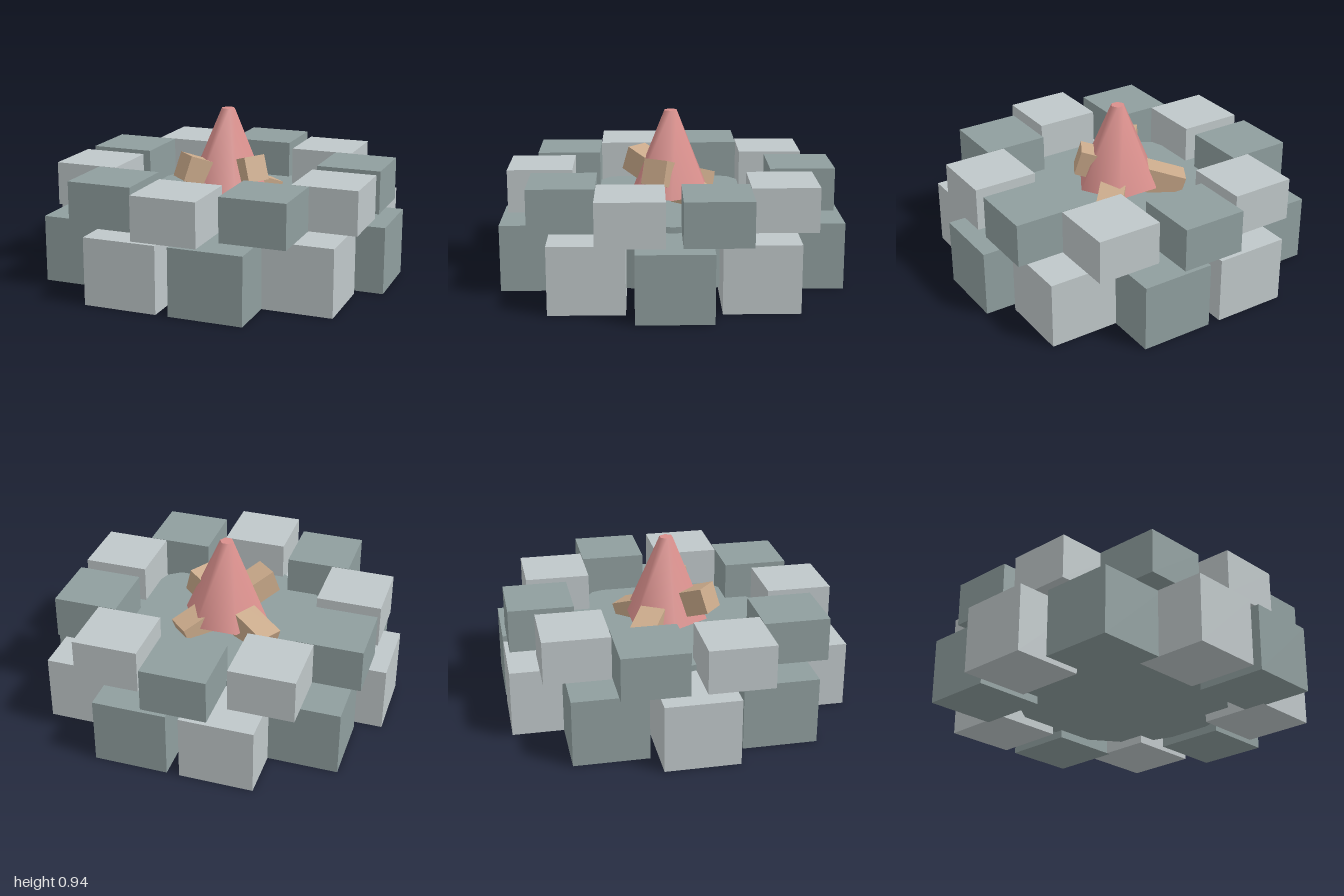
import * as THREE from 'three';

export function createModel() {
  const model = new THREE.Group();
  model.name = 'campfire';

  const mat = (name, color) => {
    const m = new THREE.MeshStandardMaterial({ color });
    m.name = name;
    return m;
  };
  const lightStone = mat('lightStone', 0xbfc7c9);
  const darkStone = mat('darkStone', 0x8f9e9e);
  const wood = mat('wood', 0xc9a98a);
  const flameRed = mat('flameRed', 0xd98f8c);

  const add = (name, geometry, material, x, y, z, parent = model) => {
    const mesh = new THREE.Mesh(geometry, material);
    mesh.name = name;
    mesh.position.set(x, y, z);
    parent.add(mesh);
    return mesh;
  };

  // Ring of ten axis-aligned blocks in alternating colours, starting near the front
  const stoneRing = (name, radius, size, height, bottom, startDeg, colours) => {
    const ring = new THREE.Group();
    ring.name = name;
    const geometry = new THREE.BoxGeometry(size, height, size);
    for (let i = 0; i < 10; i++) {
      const a = THREE.MathUtils.degToRad(startDeg + i * 36);
      add('stone', geometry, colours[i % 2],
        radius * Math.sin(a), bottom + height / 2, radius * Math.cos(a), ring);
    }
    model.add(ring);
  };
  stoneRing('lowerStones', 0.79, 0.417, 0.38, 0, 18, [darkStone, lightStone]);
  stoneRing('upperStones', 0.75, 0.372, 0.25, 0.38, 0, [lightStone, darkStone]);

  // Ten-sided fire bed filling the ring
  const bed = add('fireBed', new THREE.CylinderGeometry(0.625, 0.625, 0.37, 10),
    darkStone, 0, 0.23, 0);
  bed.rotation.y = Math.PI / 10;

  // Two tilted logs crossing through the flame
  const logGeometry = new THREE.BoxGeometry(0.635, 0.147, 0.147);
  const addLog = (yawDeg, tiltDeg, x, y, z) => {
    const log = add('log', logGeometry, wood, x, y, z);
    log.rotation.set(0, THREE.MathUtils.degToRad(yawDeg),
      THREE.MathUtils.degToRad(tiltDeg), 'YXZ');
  };
  addLog(-30, 17.5, -0.05, 0.524, -0.052);
  addLog(-132, 20, 0.002, 0.516, -0.005);

  // Six-sided blunt flame with corners on the x axis
  add('flame', new THREE.CylinderGeometry(0.04, 0.25, 0.48, 6, 1, false, Math.PI / 6),
    flameRed, 0, 0.70, 0);

  return model;
}
